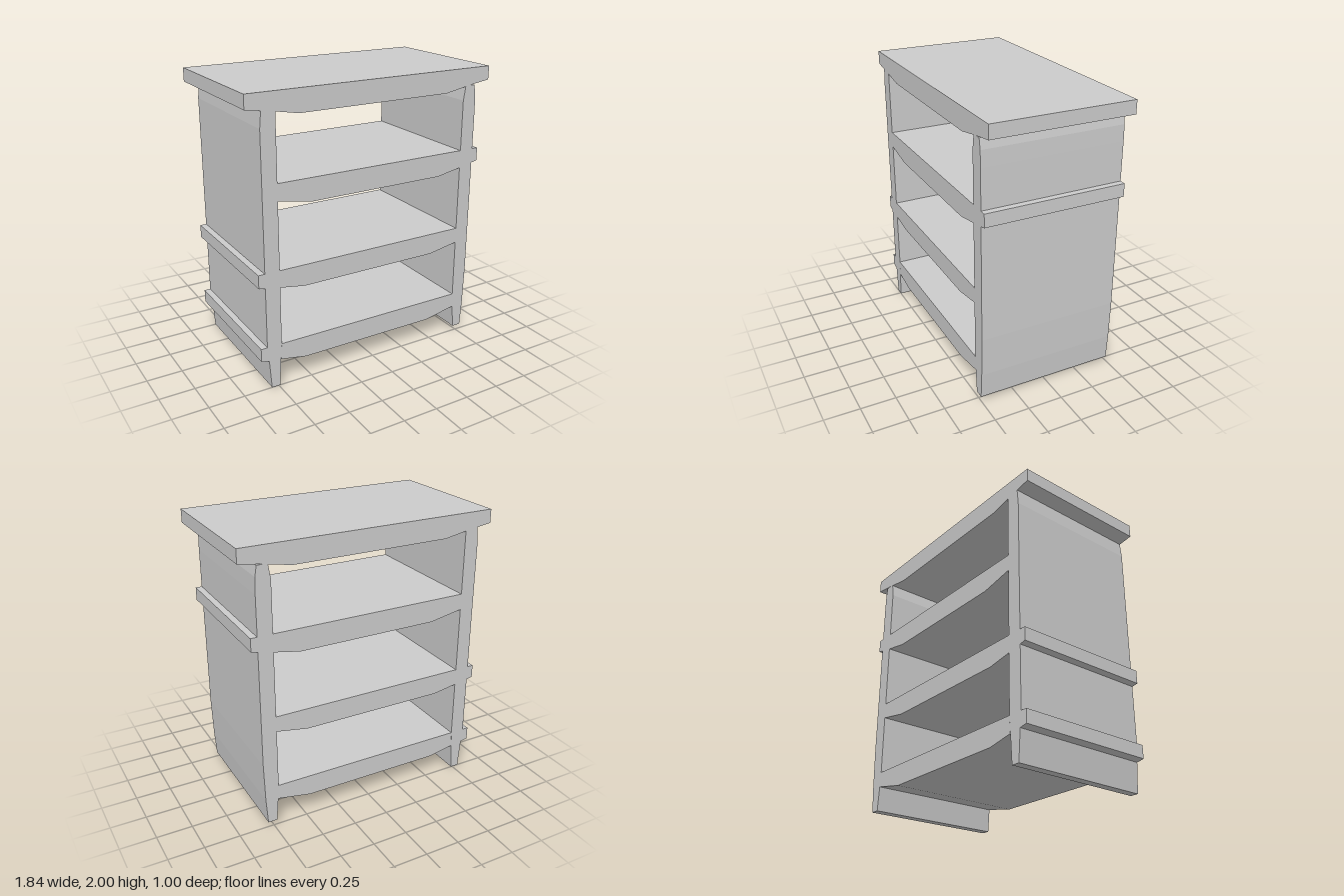
import * as THREE from 'three';

const DEPTH = 1;
const material = new THREE.MeshStandardMaterial({ color: 0xcccccc, flatShading: true });

// Front outline [x, y] pushed through the full depth of the unit
function slab(name, points) {
  const shape = new THREE.Shape(points.map(([x, y]) => new THREE.Vector2(x, y)));
  const geometry = new THREE.ExtrudeGeometry(shape, { depth: DEPTH, bevelEnabled: false });
  geometry.translate(0, 0, -DEPTH / 2);
  const mesh = new THREE.Mesh(geometry, material);
  mesh.name = name;
  return mesh;
}

export function createModel() {
  const group = new THREE.Group();
  group.name = 'shelfUnit';

  // Overhanging top board with a tapered underside
  group.add(slab('topBoard', [
    [-0.92, 1.905], [-0.815, 1.89], [-0.72, 1.875], [-0.56, 1.845], [0.56, 1.845],
    [0.72, 1.875], [0.755, 1.882], [0.915, 1.905], [0.915, 2], [-0.92, 2],
  ]));

  // Side panels narrowing into feet
  group.add(slab('rightSidePanel', [
    [-0.8, 0], [-0.74, 0], [-0.728, 0.195], [-0.72, 0.31], [-0.72, 1.875],
    [-0.815, 1.89], [-0.825, 1.78], [-0.825, 0.31], [-0.815, 0.21],
  ]));
  group.add(slab('leftSidePanel', [
    [0.725, 0.035], [0.79, 0.035], [0.802, 0.22], [0.81, 0.5], [0.81, 1.7],
    [0.807, 1.81], [0.795, 1.88], [0.755, 1.882], [0.72, 1.875], [0.705, 1.78],
    [0.705, 0.31], [0.711, 0.205],
  ]));

  // Shelves: flat top, belly tapering up towards both panels
  const shelves = [
    { name: 'lowerShelf', top: 0.31, belly: [[-0.727, 0.195], [-0.54, 0.16], [0.47, 0.16], [0.711, 0.205]] },
    { name: 'middleShelf', top: 0.84, belly: [[-0.72, 0.72], [-0.54, 0.69], [0.48, 0.69], [0.705, 0.73]] },
    { name: 'upperShelf', top: 1.425, belly: [[-0.72, 1.31], [-0.48, 1.265], [0.52, 1.265], [0.705, 1.3]] },
  ];
  for (const { name, top, belly } of shelves) {
    group.add(slab(name, [...belly, [0.705, top], [-0.72, top]]));
  }

  // Rails where shelf ends come through the side panels
  const rails = [
    { name: 'lowerRail', outer: -0.87, inner: -0.81, top: 0.31 },
    { name: 'middleRail', outer: -0.87, inner: -0.81, top: 0.84 },
    { name: 'upperRail', outer: 0.855, inner: 0.8, top: 1.425 },
  ];
  for (const { name, outer, inner, top } of rails) {
    group.add(slab(name, [[outer, top - 0.093], [inner, top - 0.105], [inner, top], [outer, top]]));
  }
  return group;
}
